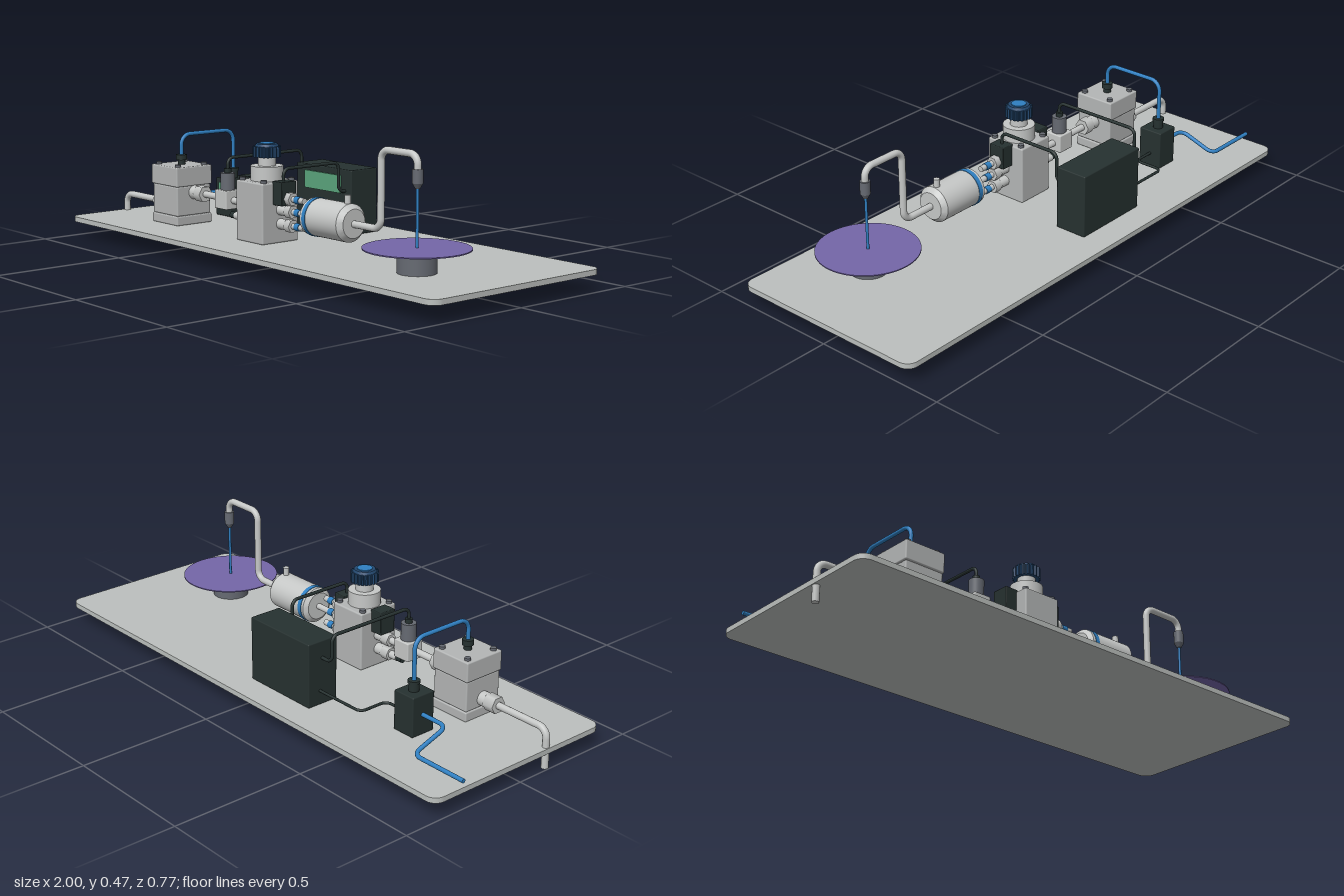
import * as THREE from 'three';
import { RoundedBoxGeometry } from 'three/addons/geometries/RoundedBoxGeometry.js';
import { toCreasedNormals } from 'three/addons/utils/BufferGeometryUtils.js';

const material = (name, color) => {
  const m = new THREE.MeshStandardMaterial({ color });
  m.name = name;
  return m;
};
const V = (x, y, z) => new THREE.Vector3(x, y, z);

export function createModel() {
  const model = new THREE.Group();
  const plateGrey = material('plate grey', 0xbcc0be);
  const steel = material('steel', 0xc6c8c7);
  const block = material('block grey', 0xb4b6b6);
  const darkGrey = material('dark grey', 0x666a72);
  const black = material('black', 0x263130);
  const blue = material('blue', 0x2f7fc1);
  const navy = material('dark blue', 0x23486f);
  const purple = material('purple', 0x7466a8);
  const green = material('screen green', 0x5aa57c);
  const Z = 0.13, DECK = 0.077;

  const add = (name, geometry, mat, x = 0, y = 0, z = 0) => {
    const mesh = new THREE.Mesh(geometry, mat);
    mesh.name = name;
    mesh.position.set(x, y, z);
    model.add(mesh);
    return mesh;
  };
  // Box given by its lowest and highest corners
  const box = (name, mat, a, b, r = 0) => {
    const s = b.map((v, i) => v - a[i]);
    const g = r ? new RoundedBoxGeometry(...s, 2, r) : new THREE.BoxGeometry(...s);
    return add(name, g, mat, ...a.map((v, i) => (v + b[i]) / 2));
  };
  // Upright cylinder from y0 to y1
  const post = (name, mat, x, z, y0, y1, r, rTop = r, sides = 32) =>
    add(name, new THREE.CylinderGeometry(rTop, r, y1 - y0, sides), mat, x, (y0 + y1) / 2, z);
  // Cylinder lying along x
  const rod = (name, mat, x0, x1, y, r, sides = 32) =>
    add(name, new THREE.CylinderGeometry(r, r, x1 - x0, sides).rotateZ(-Math.PI / 2), mat, (x0 + x1) / 2, y, Z);
  // Capped tube along a path with rounded corners
  const pipe = (name, mat, r, bend, coords) => {
    const pts = coords.map((c) => V(...c));
    const path = new THREE.CurvePath();
    let from = pts[0];
    for (let i = 1; i < pts.length - 1; i++) {
      const p = pts[i];
      const inDir = pts[i - 1].clone().sub(p).normalize();
      const outDir = pts[i + 1].clone().sub(p).normalize();
      const a = p.clone().addScaledVector(inDir, bend), b = p.clone().addScaledVector(outDir, bend);
      path.add(new THREE.LineCurve3(from, a));
      path.add(new THREE.CubicBezierCurve3(a, a.clone().lerp(p, 0.55), b.clone().lerp(p, 0.55), b));
      from = b;
    }
    const last = pts[pts.length - 1];
    path.add(new THREE.LineCurve3(from, last));
    add(name, new THREE.TubeGeometry(path, 120, r, 14), mat);
    [[pts[0], pts[1]], [last, pts[pts.length - 2]]].forEach(([end, inner]) => {
      const cap = add(name + 'End', new THREE.CircleGeometry(r, 14), mat, end.x, end.y, end.z);
      cap.quaternion.setFromUnitVectors(V(0, 0, 1), end.clone().sub(inner).normalize());
    });
  };
  const corners = (fn) => [-1, 1].forEach((i) => [-1, 1].forEach((j) => fn(i, j)));

  // Base plate with rounded corners
  const w = 1, d = 0.383, r = 0.04;
  const outline = new THREE.Shape();
  outline.absarc(w - r, d - r, r, 0, Math.PI / 2);
  outline.absarc(-w + r, d - r, r, Math.PI / 2, Math.PI);
  outline.absarc(-w + r, -d + r, r, Math.PI, Math.PI * 1.5);
  outline.absarc(w - r, -d + r, r, Math.PI * 1.5, Math.PI * 2);
  const plate = new THREE.ExtrudeGeometry(outline, { depth: 0.019, bevelEnabled: false, curveSegments: 8 });
  add('basePlate', plate.rotateX(-Math.PI / 2), plateGrey, 0, 0.058, 0);

  // Inlet pipe and fitting
  pipe('inletPipe', steel, 0.0125, 0.035, [[-0.985, 0, Z], [-0.985, 0.142, Z], [-0.72, 0.142, Z]]);
  rod('inletFitting', steel, -0.77, -0.725, 0.142, 0.031, 6);
  rod('inletCollar', steel, -0.725, -0.695, 0.142, 0.026);

  // Inlet valve: stacked square body, bolts and top connector
  const VX = -0.62;
  [[DECK, 0.112, 0.08], [0.112, 0.222, 0.077], [0.222, 0.295, 0.081]].forEach(([y0, y1, h]) =>
    box('inletValveBody', block, [VX - h, y0, Z - h], [VX + h, y1, Z + h], 0.005));
  corners((i, j) => post('valveBolt', darkGrey, VX + i * 0.06, Z + j * 0.06, 0.294, 0.304, 0.011, 0.011, 12));
  post('valveConnectorBase', black, VX, Z, 0.294, 0.312, 0.014);
  post('valveConnector', black, VX, Z, 0.312, 0.332, 0.02, 0.02);
  rod('outletCollar', steel, -0.54, -0.51, 0.198, 0.026);
  rod('outletFitting', steel, -0.51, -0.47, 0.198, 0.031, 6);
  rod('linkPipe', steel, -0.48, -0.36, 0.198, 0.0125);

  // Pilot valve with its air lines
  box('pilotValve', black, [-0.665, DECK, -0.16], [-0.575, 0.222, -0.065], 0.004);
  box('pilotDisplay', green, [-0.645, 0.175, -0.066], [-0.595, 0.206, -0.061]);
  post('pilotConnectorBase', black, VX, -0.115, 0.22, 0.25, 0.018);
  post('pilotConnector', black, VX, -0.115, 0.25, 0.26, 0.021);
  pipe('pilotAirLine', blue, 0.0075, 0.04,
    [[VX, 0.32, Z], [VX, 0.407, Z], [VX, 0.407, -0.115], [VX, 0.25, -0.115]]);
  pipe('airSupplyLine', blue, 0.0075, 0.03,
    [[-0.66, 0.15, -0.115], [-0.775, 0.15, -0.115], [-0.775, 0.1, -0.26], [-1, 0.1, -0.26]]);

  // Pressure sensor on a square tee
  box('sensorTee', steel, [-0.37, 0.163, Z - 0.035], [-0.3, 0.232, Z + 0.035], 0.004);
  post('sensorBody', darkGrey, -0.335, Z, 0.23, 0.294, 0.027);
  post('sensorPlug', black, -0.335, Z, 0.294, 0.31, 0.013);
  pipe('sensorCable', black, 0.006, 0.025, [[-0.335, 0.3, Z], [-0.335, 0.348, Z],
    [-0.335, 0.348, -0.22], [-0.335, 0.25, -0.22], [-0.28, 0.25, -0.22]]);

  // Controller with screen and cables
  box('controller', black, [-0.285, DECK, -0.28], [0.02, 0.313, -0.155], 0.004);
  box('controllerScreen', green, [-0.235, 0.225, -0.156], [-0.035, 0.29, -0.15]);
  pipe('pilotCable', black, 0.005, 0.025,
    [[-0.58, 0.13, -0.115], [-0.49, 0.13, -0.115], [-0.49, 0.13, -0.23], [-0.28, 0.13, -0.23]]);
  pipe('regulatorCable', black, 0.006, 0.025, [[-0.015, 0.29, Z], [-0.015, 0.342, Z],
    [-0.015, 0.342, -0.125], [-0.015, 0.235, -0.125], [-0.015, 0.235, -0.156]]);

  // Dispense regulator: body, bonnet and side switches
  const RX = -0.107;
  box('regulatorBody', block, [RX - 0.075, DECK, Z - 0.081], [RX + 0.075, 0.293, Z + 0.081], 0.006);
  corners((i, j) => post('regulatorBolt', darkGrey, RX + i * 0.06, Z + j * 0.062, 0.292, 0.303, 0.011, 0.011, 12));
  post('bonnet', steel, RX, Z, 0.292, 0.345, 0.058);
  post('bonnetNeck', steel, RX, Z, 0.345, 0.378, 0.032);
  [-1, 1].forEach((s) => {
    const a = RX + s * 0.07, b = RX + s * 0.122;
    box('sideSwitch', black, [Math.min(a, b), 0.215, Z - 0.033], [Math.max(a, b), 0.3, Z + 0.033], 0.003);
  });

  // Fluted knob
  const flutes = new THREE.Shape();
  for (let i = 0; i < 80; i++) {
    const a = (i / 80) * Math.PI * 2, rad = i % 4 < 2 ? 0.05 : 0.044;
    flutes[i ? 'lineTo' : 'moveTo'](Math.cos(a) * rad, Math.sin(a) * rad);
  }
  const knob = new THREE.ExtrudeGeometry(flutes, { depth: 0.038, bevelEnabled: false });
  add('knob', knob.rotateX(-Math.PI / 2), navy, RX, 0.376, Z);
  post('knobRim', navy, RX, Z, 0.413, 0.423, 0.043, 0.038);
  post('knobCap', blue, RX, Z, 0.42, 0.426, 0.027);

  // Regulator inlets on its right-hand side
  rod('teePipe', steel, -0.305, -0.22, 0.195, 0.0125);
  [0.195, 0.142].forEach((y) => {
    rod('inletPortCollar', steel, -0.215, -0.18, y, 0.02);
    rod('inletPortNut', steel, -0.25, -0.215, y, 0.024, 6);
  });
  rod('drainStub', steel, -0.285, -0.25, 0.142, 0.014);
  rod('drainPlug', black, -0.31, -0.285, 0.142, 0.012);

  // Three outlet ports with blue rings
  [0.24, 0.195, 0.145].forEach((y) => {
    rod('portCollar', steel, -0.035, 0.01, y, 0.019);
    rod('portNut', steel, 0.01, 0.04, y, 0.024, 6);
    rod('portTube', steel, 0.04, 0.1, y, 0.011);
    rod('portRing', blue, 0.055, 0.078, y, 0.0135);
  });
  rod('filterInlet', steel, 0.1, 0.145, 0.195, 0.011);

  // Filter capsule with chamfered ends, blue band and vent
  const profile = [[0, 0], [0.05, 0], [0.066, 0.012], [0.066, 0.2], [0.05, 0.218], [0, 0.218]]
    .map((p) => new THREE.Vector2(...p));
  const capsule = toCreasedNormals(new THREE.LatheGeometry(profile, 40), 0.5).rotateZ(-Math.PI / 2);
  add('filterCapsule', capsule, steel, 0.14, 0.196, Z);
  rod('filterBand', blue, 0.163, 0.18, 0.196, 0.068, 40);
  post('filterVent', steel, 0.325, Z, 0.255, 0.29, 0.011);

  // Outlet pipe, nozzle and falling stream
  pipe('outletPipe', steel, 0.0125, 0.035, [[0.35, 0.195, Z], [0.49, 0.195, Z],
    [0.49, 0.461, Z], [0.663, 0.461, Z], [0.663, 0.4, Z]]);
  post('nozzle', darkGrey, 0.663, Z, 0.368, 0.414, 0.018);
  post('nozzleTip', darkGrey, 0.663, Z, 0.35, 0.368, 0.008, 0.018);
  post('stream', blue, 0.663, Z, 0.158, 0.352, 0.005, 0.005, 12);

  // Wafer on its chuck
  post('chuck', darkGrey, 0.663, Z, DECK, 0.155, 0.066, 0.066, 48);
  post('wafer', purple, 0.663, Z, 0.155, 0.159, 0.179, 0.179, 64);

  return model;
}
